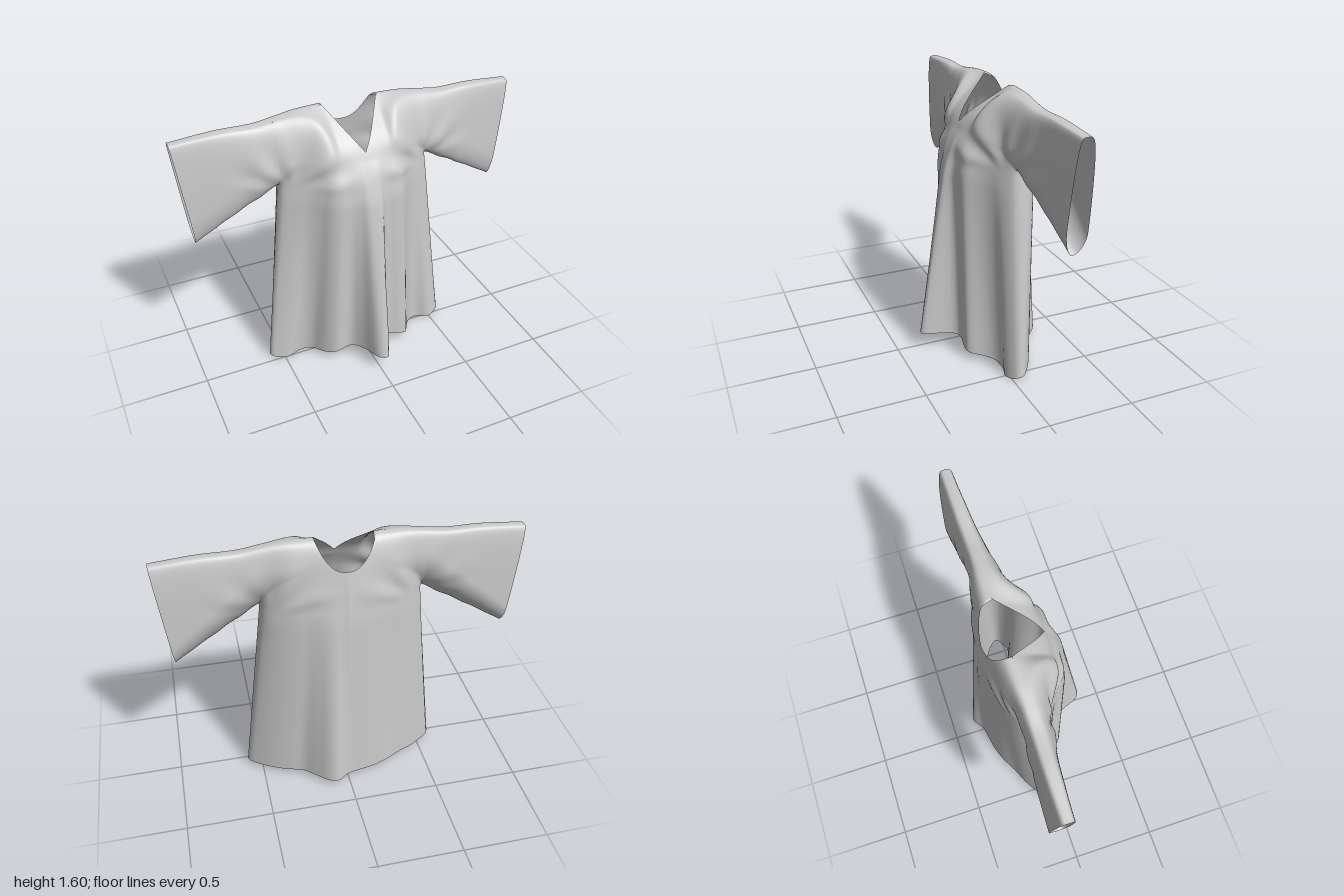
import * as THREE from 'three';
import { mergeGeometries, mergeVertices } from 'three/addons/utils/BufferGeometryUtils.js';

const { clamp, lerp, smoothstep } = THREE.MathUtils;
const ARMPIT = 1.21, SEAM = 0.45, SHOULDER_Z = -0.13, NECK = 0.16, CHEST = 1.1;

// Smooth curve z(x) through [x, z] points
function curve(points) {
  const slope = (i) => {
    const a = points[Math.max(i - 1, 0)], b = points[Math.min(i + 1, points.length - 1)];
    return (b[1] - a[1]) / (b[0] - a[0]);
  };
  return (x) => {
    let i = 0;
    while (i < points.length - 2 && x > points[i + 1][0]) i++;
    const [x0, z0] = points[i], [x1, z1] = points[i + 1], h = x1 - x0;
    const t = clamp((x - x0) / h, 0, 1), t2 = t * t, t3 = t2 * t;
    return (2 * t3 - 3 * t2 + 1) * z0 + (t3 - 2 * t2 + t) * h * slope(i)
      + (3 * t2 - 2 * t3) * z1 + (t3 - t2) * h * slope(i + 1);
  };
}

// Folds along the hem, and the calmer line across chest and sleeves
const hemFront = curve([[-0.59, -0.01], [-0.48, 0.01], [-0.4, -0.01], [-0.33, 0.02], [-0.28, 0.1],
  [-0.22, 0.15], [-0.12, 0.16], [-0.06, 0.24], [-0.03, 0.33], [0, 0.37], [0.045, 0.37], [0.062, 0.3],
  [0.085, 0.2], [0.13, 0.15], [0.26, 0.15], [0.32, 0.06], [0.36, 0.02], [0.42, 0], [0.5, 0.03], [0.59, 0.01]]);
const hemBack = curve([[-0.59, -0.1], [-0.45, -0.165], [-0.35, -0.2], [-0.25, -0.25], [-0.15, -0.285],
  [0, -0.315], [0.07, -0.36], [0.13, -0.345], [0.2, -0.285], [0.27, -0.225], [0.35, -0.2], [0.45, -0.165], [0.59, -0.1]]);
const chestFront = curve([[0, 0.17], [0.1, 0.17], [0.2, 0.15], [0.3, 0.07], [0.38, 0.02], [0.45, 0],
  [0.55, -0.02], [0.65, -0.045], [0.85, -0.07], [1, -0.08]]);
const chestBack = curve([[0, -0.28], [0.25, -0.245], [0.45, -0.205], [0.7, -0.2], [1, -0.195]]);
const shoulderY = curve([[0, 1.605], [0.3, 1.6], [0.42, 1.585], [0.55, 1.567], [0.75, 1.567], [1, 1.55]]);

// Soft creases fanning out from the armpit
function crease(x, y, front) {
  const dx = Math.abs(x) - 0.4, dy = y - 1.18;
  const angle = Math.atan2(dy, dx), r = Math.hypot(dx, dy);
  const strength = smoothstep(r, 0.03, 0.18) * (1 - smoothstep(r, 0.22, 0.45)) * smoothstep(y, 1.15, 1.32);
  return 1 + 0.06 * strength * Math.sin(angle * 9 + (front ? 0 : 2) + (x > 0 ? 0.8 : 0));
}

// Depth of the cloth above the chest: rounds over to the shoulder line
function upperZ(x, y, front) {
  const ax = Math.abs(x), top = shoulderY(ax);
  const t = clamp((y - CHEST) / (top - CHEST), 0, 1);
  const power = lerp(front ? 0.42 : 0.3, 0.2, clamp((ax - 0.2) / 0.6, 0, 1));
  let depth = (front ? chestFront : chestBack)(ax) - SHOULDER_Z;
  depth *= Math.pow(1 - Math.pow(t, 1.4), power) * crease(x, y, front);
  if (front && depth > 0) {
    // the front lies in a flat slope either side of the neckline
    const flat = (1.2 + 6 * smoothstep(ax, 0.14, 0.4)) * Math.max(top - y, 1e-6);
    depth *= Math.pow(1 + Math.pow(depth / flat, 8), -1 / 8);
  }
  return SHOULDER_Z + depth;
}

// How far a seam closing at height yb is open; u runs from armpit to cuff
function opening(y, yb, u, front) {
  const height = front ? 0.15 : lerp(0.26, 0.12, u), power = front ? 0.5 : lerp(0.8, 0.5, u);
  return Math.pow(Math.sin(clamp((y - yb) / height, 0, 1) * Math.PI / 2), power);
}

function bodyPoint(u, v, front) {
  const s = 2 * u - 1, ax = Math.abs(s) * SEAM;
  const n = ax / NECK;
  // neckline: V in front, shallow scoop behind
  let top = shoulderY(ax);
  if (n < 0.999) top = front ? lerp(1.39, top, n) : lerp(1.44, top, Math.pow(n, 2.5));
  // hem: raised at the front centre, with rounded corners
  const hem = front ? 0.002 + 0.107 * (1 - s * s) ** 3 + 0.03 * s ** 16 : 0.032 + 0.008 * (1 - s * s);
  const y = lerp(hem, top, 1 - (1 - v) ** 2);
  const rise = clamp(y / ARMPIT, 0, 1);
  const x = s * lerp(0.59, SEAM, rise);
  // the centre fold widens and fades upwards
  let hx = s * 0.59;
  hx -= hx * 0.4 * rise * Math.exp(-((hx / 0.12) ** 2));
  const fold = clamp(1 - y / 1.35, 0, 1);
  const chest = upperZ(s * SEAM, y, front);
  const z = lerp(chest, (front ? hemFront : hemBack)(hx), fold);
  // cloth above the armpit meets the sleeve exactly
  const settled = lerp(z, chest, smoothstep(Math.abs(s), 0.7, 1) * smoothstep(y, 1, ARMPIT));
  const side = Math.sqrt(Math.max(0, 1 - Math.abs(s) ** (front ? 8 : 6)));
  return [x, y, lerp(lerp(-0.04, -0.08, rise), settled, Math.max(side, opening(y, ARMPIT, 0, front)))];
}

function sleevePoint(side, u, v, front) {
  const top = shoulderY(SEAM + 0.55 * u);
  const bottom = lerp(ARMPIT, 0.93, u) + 0.004 * Math.sin(u * 22) * (1 - u);
  const y = lerp(bottom, top, 0.5 - 0.5 * Math.cos(Math.PI * v));
  // the cuff slants inwards towards its lower corner
  const x = side * (SEAM + u * (0.55 - 0.07 * (top - y) / 0.62));
  return [x, y, lerp(lerp(-0.08, -0.12, u), upperZ(x, y, front), opening(y, bottom, u, front))];
}

// Grid surface from a point function; flip reverses the facing
function sheet(nu, nv, point, flip) {
  const pos = [], index = [];
  for (let j = 0; j <= nv; j++) for (let i = 0; i <= nu; i++) pos.push(...point(i / nu, j / nv));
  for (let j = 0; j < nv; j++) for (let i = 0; i < nu; i++) {
    const a = j * (nu + 1) + i, b = a + 1, c = a + nu + 1, d = c + 1;
    index.push(...(flip ? [a, c, b, b, c, d] : [a, b, c, b, d, c]));
  }
  const g = new THREE.BufferGeometry();
  g.setAttribute('position', new THREE.Float32BufferAttribute(pos, 3));
  g.setIndex(index);
  return g;
}

export function createModel() {
  const robe = new THREE.Group();
  robe.name = 'robe';
  const cloth = new THREE.MeshStandardMaterial({ color: 0xcccccc, side: THREE.DoubleSide });

  // Front and back sheets welded along their shared seams
  const addPart = (name, nu, nv, point, mirrored) => {
    const sheets = [true, false].map((front) =>
      sheet(nu, nv, (u, v) => point(u, v, front), front === mirrored));
    const g = mergeVertices(mergeGeometries(sheets), 1e-4);
    g.computeVertexNormals();
    const mesh = new THREE.Mesh(g, cloth);
    mesh.name = name;
    robe.add(mesh);
  };

  addPart('body', 90, 90, bodyPoint, false);
  addPart('leftSleeve', 40, 60, (u, v, f) => sleevePoint(1, u, v, f), false);
  addPart('rightSleeve', 40, 60, (u, v, f) => sleevePoint(-1, u, v, f), true);
  return robe;
}
